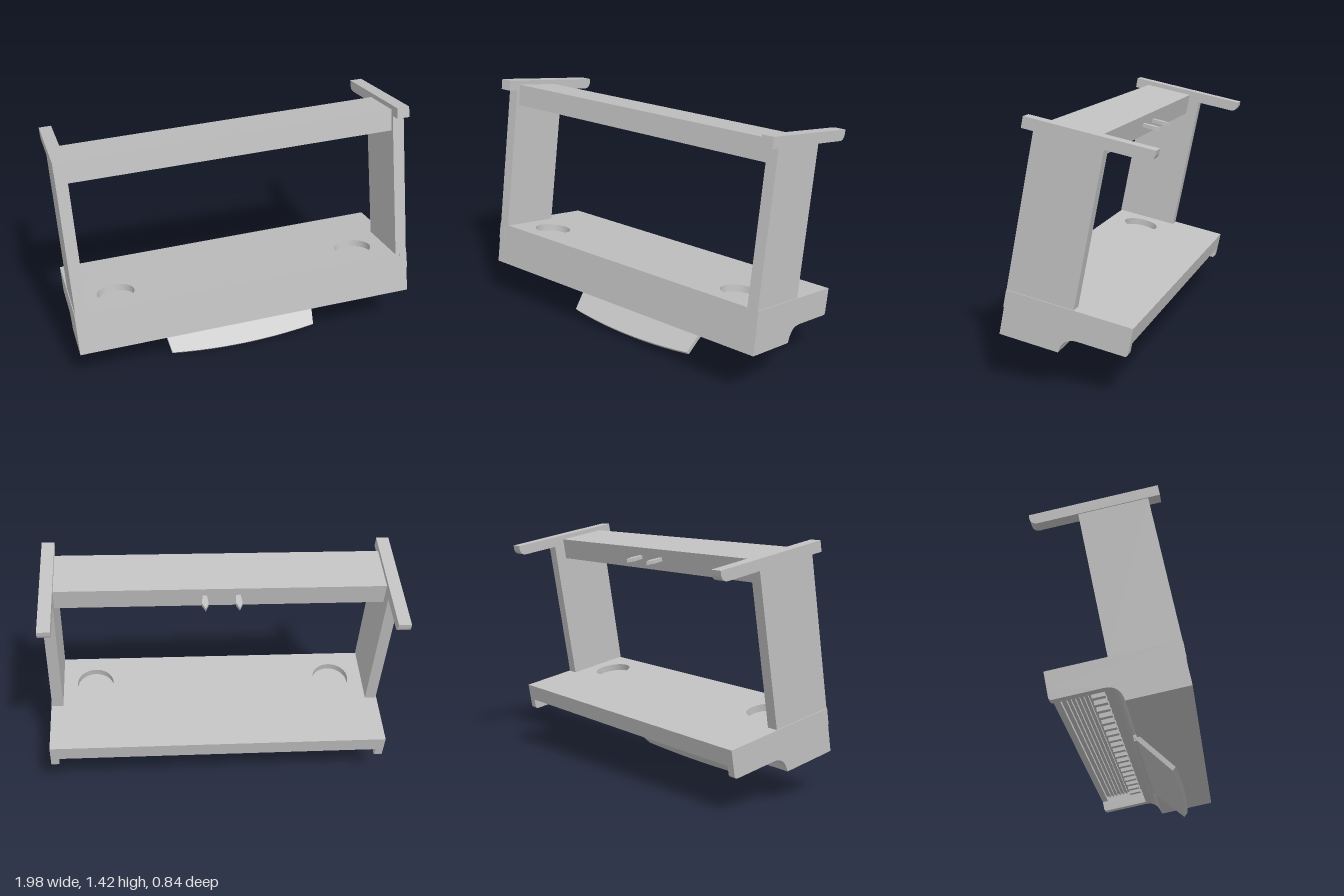
import * as THREE from 'three';

export function createModel() {
  const grey = new THREE.MeshStandardMaterial({ color: 0xc0c0c0 });
  grey.name = 'light grey';
  const frame = new THREE.Group();
  frame.name = 'shelfUnit';

  const add = (name, geo, parent = frame) => {
    const m = new THREE.Mesh(geo, grey);
    m.name = name;
    parent.add(m);
    return m;
  };
  // Box given by its limits on each axis
  const box = (name, x0, x1, y0, y1, z0, z1) =>
    add(name, new THREE.BoxGeometry(x1 - x0, y1 - y0, z1 - z0)
      .translate((x0 + x1) / 2, (y0 + y1) / 2, (z0 + z1) / 2));
  // Side profile in (z, y), extruded along x
  const profile = (name, shape, x0, x1) =>
    add(name, new THREE.ExtrudeGeometry(shape, { depth: x1 - x0, bevelEnabled: false, curveSegments: 8 })
      .rotateY(-Math.PI / 2).translate(x1, 0, 0));
  const poly = (pts) => new THREE.Shape(pts.map(([a, b]) => new THREE.Vector2(a, b)));

  const IN = 0.93, OUT = 0.975, FRONT = 0.462, BACK = -0.224, TOP = 0.424;

  // Top plate of the base with two round recesses
  const plate = poly([[-IN, BACK], [IN, BACK], [IN, FRONT], [-IN, FRONT]]);
  for (const s of [-1, 1]) {
    const hole = new THREE.Path();
    hole.absarc(s * 0.715, 0.265, 0.107, 0, Math.PI * 2, true);
    plate.holes.push(hole);
  }
  add('baseTop', new THREE.ExtrudeGeometry(plate, { depth: 0.04, bevelEnabled: false, curveSegments: 24 })
    .rotateX(Math.PI / 2).translate(0, TOP, 0));

  // Hollow underside with a curved rear of the front box
  const body = poly([[FRONT, 0.384], [FRONT, 0.18], [0.135, 0.18]]);
  body.quadraticCurveTo(0.125, 0.265, 0.05, 0.268);
  for (const [z, y] of [[0.05, 0.36], [-0.19, 0.36], [-0.19, 0.33], [BACK, 0.33], [BACK, 0.384]]) body.lineTo(z, y);
  profile('baseBody', body, -IN, IN);

  // Underside grille: long slats and a row of short ribs
  for (let i = 0; i < 6; i++) {
    const z = -0.17 + i * 0.022;
    box('grilleSlat', -0.88, 0.88, 0.335, 0.36, z, z + 0.009);
  }
  for (let i = 0; i < 20; i++) {
    const x = -0.85 + i * 0.0895;
    box('grilleRib', x - 0.015, x + 0.015, 0.315, 0.36, -0.035, 0.035);
  }

  for (const s of [-1, 1]) {
    const span = (a, b) => (s > 0 ? [a, b] : [-b, -a]);
    // Lower end bracket
    const end = poly([[FRONT, 0.33], [FRONT, 0.18], [0.135, 0.18]]);
    end.quadraticCurveTo(0.125, 0.265, 0.05, 0.268);
    end.lineTo(-0.205, 0.268);
    end.quadraticCurveTo(BACK, 0.268, BACK, 0.287);
    end.lineTo(BACK, 0.33);
    profile('endBracket', end, ...span(IN, OUT));
    // Post foot, post and cap
    box('postFoot', ...span(IN, OUT), 0.33, TOP, BACK, 0.466);
    box('post', ...span(0.905, 0.97), TOP, 1.262, 0.095, 0.466);
    const cap = poly([[0.529, 1.262], [0.529, 1.322], [-0.158, 1.322], [-0.158, 1.297]]);
    cap.quadraticCurveTo(-0.153, 1.262, -0.115, 1.262);
    profile('postCap', cap, ...span(0.905, 0.975));
    // Pointed peg on the back of the top bar
    const peg = poly([[-0.012, 0.165], [-0.018, 0.1], [0, 0.06], [0.018, 0.1], [0.012, 0.165]]);
    add('peg', new THREE.ExtrudeGeometry(peg, { depth: 0.02, bevelEnabled: false })
      .rotateX(Math.PI / 2).translate(s * 0.092, 1.25, 0));
  }

  // Bar joining the posts
  box('topBar', -0.906, 0.906, 1.174, 1.296, 0.163, 0.447);

  // Hinged flap with a bowed lower edge
  box('hinge', -0.46, 0.46, 0.165, 0.2, 0.115, 0.145);
  const flap = poly([[-0.435, -0.262], [0.435, -0.262], [0.472, 0.015], [-0.472, 0.015]].reverse());
  flap.quadraticCurveTo(0, 0.015, 0.472, 0.015);
  const leaf = new THREE.Shape();
  leaf.moveTo(-0.472, 0.015);
  leaf.lineTo(-0.435, -0.25);
  leaf.quadraticCurveTo(0, -0.305, 0.435, -0.25);
  leaf.lineTo(0.472, 0.015);
  const flapMesh = add('flap', new THREE.ExtrudeGeometry(leaf, { depth: 0.026, bevelEnabled: false, curveSegments: 16 })
    .translate(0, 0, -0.013));
  flapMesh.position.set(0, 0.178, 0.135);
  flapMesh.rotation.x = -0.65;

  // Whole unit leans back and rolls slightly; rest it on the ground
  frame.rotation.set(-0.19, 0, 0.0305);
  frame.position.x = 0.017;
  const model = new THREE.Group();
  model.name = 'model';
  model.add(frame);
  model.updateMatrixWorld(true);
  frame.position.y -= new THREE.Box3().setFromObject(model, true).min.y;
  return model;
}
